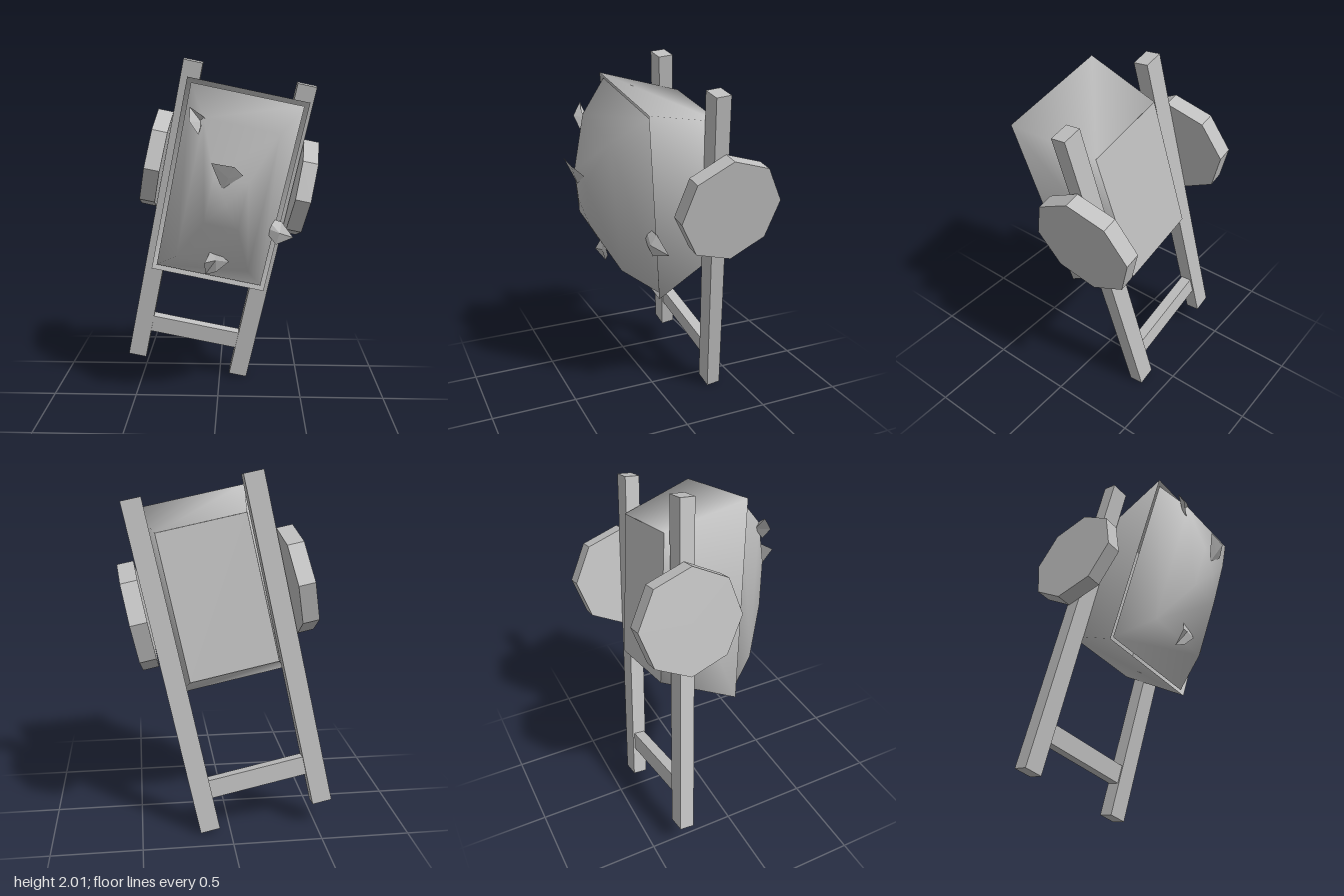
import * as THREE from 'three';

const grey = new THREE.MeshStandardMaterial({ color: 0xc0c0c0 });
grey.name = 'plain grey';
grey.side = THREE.DoubleSide;

function addMesh(parent, name, geometry, x = 0, y = 0, z = 0) {
  const mesh = new THREE.Mesh(geometry, grey);
  mesh.name = name;
  mesh.position.set(x, y, z);
  parent.add(mesh);
  return mesh;
}

// Skin through rectangular rings [halfWidth, halfLength, height], leaning slightly along the length
function loft(rings, apex) {
  const points = [], index = [];
  for (const [w, l, h] of rings) {
    for (const [a, b] of [[-1, -1], [1, -1], [1, 1], [-1, 1]]) {
      points.push(a * w, b * l, h + 0.037 * b * l);
    }
  }
  for (let k = 0; k < rings.length - 1; k++) {
    for (let i = 0; i < 4; i++) {
      const a = k * 4 + i, b = k * 4 + (i + 1) % 4;
      index.push(a, b, b + 4, a, b + 4, a + 4);
    }
  }
  if (apex !== undefined) {
    const top = rings.length * 4;
    points.push(0, 0, apex);
    for (let i = 0; i < 4; i++) index.push(top - 4 + i, top - 4 + (i + 1) % 4, top);
  }
  const geometry = new THREE.BufferGeometry();
  geometry.setAttribute('position', new THREE.Float32BufferAttribute(points, 3));
  geometry.setIndex(index);
  geometry.computeVertexNormals();
  return geometry;
}

// Folded flake: a fan from its first point around the outline
function flake(points) {
  const corners = [];
  const n = points.length - 1;
  for (let i = 0; i < n; i++) {
    corners.push(...points[0], ...points[1 + (i + 1) % n], ...points[1 + i]);
  }
  const geometry = new THREE.BufferGeometry();
  geometry.setAttribute('position', new THREE.Float32BufferAttribute(corners, 3));
  geometry.computeVertexNormals();
  return geometry;
}

export function createModel() {
  const model = new THREE.Group();
  model.name = 'handcart';

  // The whole cart stands on its handles, leaning sideways and forward
  const cart = new THREE.Group();
  cart.name = 'tiltedCart';
  cart.rotation.set(0.11, 0, -0.206);
  model.add(cart);

  // Everything in the cart is mirrored about this centre line
  const body = new THREE.Group();
  body.name = 'cartBody';
  body.position.x = -0.21;
  cart.add(body);

  for (const side of [-1, 1]) {
    const label = side > 0 ? 'left' : 'right';
    addMesh(body, label + 'Rail', new THREE.BoxGeometry(0.112, 1.893, 0.083), side * 0.33, 0.947, -0.338);
    const disc = new THREE.CylinderGeometry(0.293, 0.293, 0.09, 8).toNonIndexed();
    disc.computeVertexNormals();
    addMesh(body, label + 'Wheel', disc, side * 0.435, 1.287, -0.36).rotation.z = Math.PI / 2;
  }
  addMesh(body, 'crossbar', new THREE.BoxGeometry(0.56, 0.105, 0.065), 0, 0.238, -0.337);

  // Tray with sloping walls and a flat floor
  const floorRing = [0.249, 0.408, -0.413];
  addMesh(body, 'trayWalls', loft([floorRing, [0.329, 0.556, 0.016]]), 0, 1.288, 0);
  const floor = addMesh(body, 'trayFloor', new THREE.PlaneGeometry(0.498, 0.816), 0, 1.288, -0.413);
  floor.rotation.set(0.037 + Math.PI, 0, 0);

  // Heaped load
  addMesh(body, 'load', loft([
    [0.305, 0.53, 0.005], [0.2, 0.39, 0.178], [0.09, 0.13, 0.293]
  ], 0.315), 0, 1.288, 0);

  // Loose flakes on the load
  const flakes = [
    [[-0.07, 1.67, 0.35], [-0.13, 1.75, 0.37], [-0.07, 1.71, 0.385], [0, 1.65, 0.375],
      [-0.07, 1.66, 0.37], [-0.085, 1.61, 0.39], [-0.13, 1.68, 0.41]],
    [[0.07, 1.4, 0.48], [-0.015, 1.48, 0.51], [0.1, 1.46, 0.505], [0.145, 1.41, 0.45], [0.04, 1.335, 0.45]],
    [[0.35, 1.05, 0.16], [0.27, 1.14, 0.16], [0.36, 1.11, 0.13], [0.43, 1.01, 0.09],
      [0.33, 0.98, 0.14], [0.25, 1.09, 0.17]],
    [[0, 0.93, 0.31], [-0.02, 1, 0.3], [0.07, 0.92, 0.3], [0, 0.86, 0.29],
      [-0.06, 0.84, 0.27], [-0.06, 0.92, 0.33]]
  ];
  flakes.forEach((points, i) => addMesh(model, 'flake' + (i + 1), flake(points)));

  return model;
}
